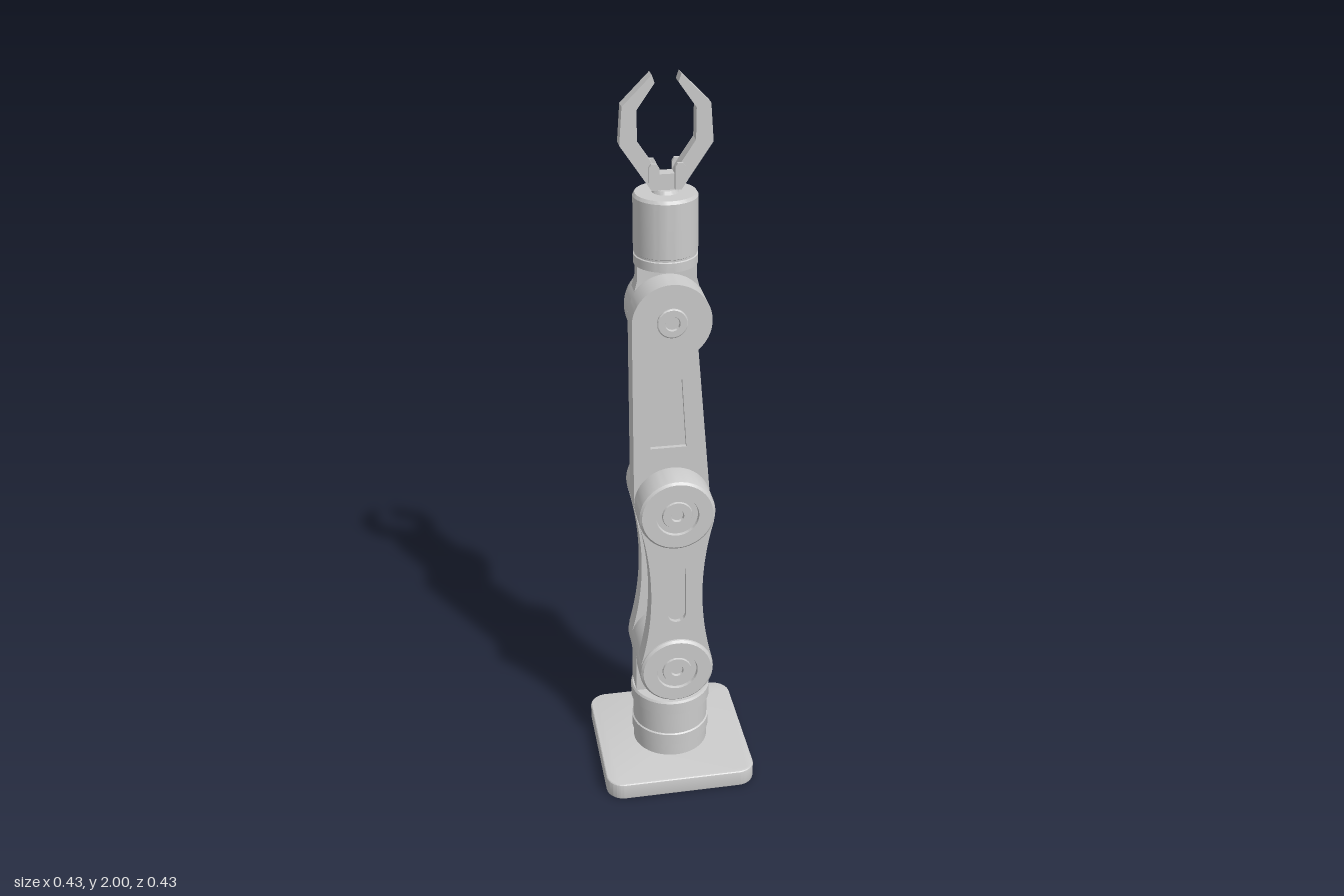
import * as THREE from 'three';
import { toCreasedNormals } from 'three/addons/utils/BufferGeometryUtils.js';

const material = new THREE.MeshStandardMaterial({ color: 0xcccccc });
const V = (x, y) => new THREE.Vector2(x, y);
const SHOULDER = 0.36, ELBOW = 0.866, WRIST = 1.388, WRIST_Z = -0.064, R = 0.104;

export function createModel() {
  const model = new THREE.Group();
  model.name = 'robotArm';

  const add = (name, geometry, x = 0, y = 0, z = 0) => {
    const mesh = new THREE.Mesh(toCreasedNormals(geometry, 0.5), material);
    mesh.name = name;
    mesh.position.set(x, y, z);
    model.add(mesh);
    return mesh;
  };
  // Turned part from [radius, height] pairs, bottom to top
  const turned = (profile, segments = 64) =>
    new THREE.LatheGeometry(profile.map(([r, h]) => V(r, h)), segments);
  // Flat part centred on its thickness
  const plate = (shape, depth, bevel = 0) => new THREE.ExtrudeGeometry(shape, {
    depth: depth - 2 * bevel, curveSegments: 24, bevelEnabled: bevel > 0,
    bevelThickness: bevel, bevelSize: bevel, bevelOffset: -bevel, bevelSegments: 3,
  }).translate(0, 0, -depth / 2 + bevel);
  // Plate with a shallow pocket on both faces
  const pocketPlate = (name, shape, pocket, depth, z) => {
    shape.holes.push(pocket);
    add(name, plate(shape, depth), 0, 0, z);
    add(name + 'PocketFloor', plate(pocket, depth - 0.024), 0, 0, z);
  };

  // Square foot with rounded corners
  const h = 0.214, c = 0.05;
  const foot = new THREE.Shape();
  foot.absarc(h - c, h - c, c, 0, Math.PI / 2);
  foot.absarc(c - h, h - c, c, Math.PI / 2, Math.PI);
  foot.absarc(c - h, c - h, c, Math.PI, Math.PI * 1.5);
  foot.absarc(h - c, c - h, c, Math.PI * 1.5, Math.PI * 2);
  add('basePlate', plate(foot, 0.052, 0.006).rotateX(-Math.PI / 2), 0, 0.026, 0);

  // Turntable with a raised band and collar
  add('turntable', turned([
    [0, 0.05], [0.107, 0.05], [0.107, 0.09], [0.111, 0.093], [0.111, 0.127], [0.107, 0.13],
    [0.107, 0.2], [0.113, 0.203], [0.113, 0.24], [0.109, 0.246], [0, 0.246],
  ]));

  // Shoulder bracket
  const bracket = new THREE.Shape();
  bracket.moveTo(-R, 0.24);
  bracket.lineTo(R, 0.24);
  bracket.absarc(0, SHOULDER, R, 0, Math.PI);
  add('shoulderBracket', plate(bracket, 0.074));

  // Joint caps and waisted links, front and back
  const cap = [
    [0, 0], [R, 0], [R, 0.07], [0.102, 0.077], [0.096, 0.083], [0.058, 0.083], [0.056, 0.075],
    [0.041, 0.075], [0.039, 0.08], [0.018, 0.08], [0.016, 0.073], [0, 0.073],
  ];
  for (const side of [1, -1]) {
    const label = side > 0 ? 'front' : 'back';
    for (const [joint, y] of [['Shoulder', SHOULDER], ['Elbow', ELBOW]]) {
      const mesh = add(label + joint + 'Cap', turned(cap).rotateX(Math.PI / 2), 0, y, side * 0.037);
      if (side < 0) mesh.rotation.y = Math.PI;
    }
    const mid = (SHOULDER + ELBOW) / 2;
    const link = new THREE.Shape();
    link.moveTo(-0.1, SHOULDER + 0.03);
    link.lineTo(0.1, SHOULDER + 0.03);
    link.quadraticCurveTo(0.042, mid, 0.1, ELBOW - 0.03);
    link.lineTo(-0.1, ELBOW - 0.03);
    link.quadraticCurveTo(-0.042, mid, -0.1, SHOULDER + 0.03);
    const slot = new THREE.Shape();
    slot.absarc(0, 0.685, 0.025, 0, Math.PI);
    slot.absarc(0, 0.547, 0.025, Math.PI, Math.PI * 2);
    slot.closePath();
    pocketPlate(label + 'Link', link, slot, 0.055, side * 0.0825);
  }

  // Forearm: straight on one edge, tapered on the other
  const forearm = new THREE.Shape();
  forearm.absarc(0, ELBOW, R, Math.PI, Math.PI * 2);
  forearm.lineTo(0.068, 1.31);
  forearm.absarc(0, WRIST, R, -0.854, Math.PI);
  forearm.closePath();
  const window = new THREE.Shape([V(-0.058, 1.03), V(0.038, 1.03), V(0.026, 1.228), V(-0.058, 1.228)]);
  pocketPlate('forearm', forearm, window, 0.072, 0);
  const rim = turned([[0.02, 0], [0.04, 0], [0.04, 0.004], [0.037, 0.006], [0.02, 0.006], [0.018, 0]], 48);
  add('wristPivotRim', rim.rotateX(Math.PI / 2), 0, WRIST, 0.036);

  // Wrist: domed motor housing behind the forearm
  const dome = [[0, 0.034], [R, 0.034], [R, 0.092]];
  for (let i = 1; i <= 20; i++) {
    const a = i / 20 * Math.PI / 2;
    dome.push([R * Math.cos(a), 0.092 + R * Math.sin(a)]);
  }
  add('wristDome', turned(dome).rotateX(-Math.PI / 2), 0, WRIST, 0);
  const neck = new THREE.Shape([V(-0.1, WRIST), V(0.1, WRIST), V(0.077, 1.48), V(0.077, 1.53), V(-0.077, 1.53), V(-0.077, 1.48)]);
  add('wristNeck', plate(neck, 0.046), 0, 0, WRIST_Z);
  add('wristRotor', turned([
    [0, 1.518], [0.083, 1.518], [0.083, 1.542], [0.08, 1.544], [0.08, 1.549], [0.083, 1.551],
    [0.083, 1.695], [0.078, 1.703], [0, 1.703],
  ]), 0, 0, WRIST_Z);

  // Gripper: palm, pivot knuckles and two hooked fingers
  add('palmCap', turned([[0, 1.7], [0.036, 1.7], [0.03, 1.712], [0, 1.712]], 32), 0, 0, WRIST_Z);
  add('palm', new THREE.BoxGeometry(0.046, 0.05, 0.036), 0, 1.728, WRIST_Z);
  for (const side of [1, -1]) {
    const label = side > 0 ? 'left' : 'right';
    const finger = new THREE.Shape([
      [0.016, 1.712], [0.038, 1.712], [0.117, 1.83], [0.11, 1.926], [0.036, 2], [0.029, 1.98],
      [0.074, 1.916], [0.073, 1.836], [0.03, 1.772], [0.016, 1.745],
    ].map(([x, y]) => V(side * x, y)));
    add(label + 'Finger', plate(finger, 0.038), 0, 0, WRIST_Z);
    const knuckle = new THREE.Shape([
      [0.02, 1.715], [0.036, 1.715], [0.047, 1.735], [0.047, 1.772], [0.04, 1.782], [0.026, 1.782], [0.02, 1.772],
    ].map(([x, y]) => V(side * x, y)));
    for (const z of [0.0235, -0.0235])
      add(label + 'Knuckle', plate(knuckle, 0.01), 0, 0, WRIST_Z + z);
  }
  return model;
}
